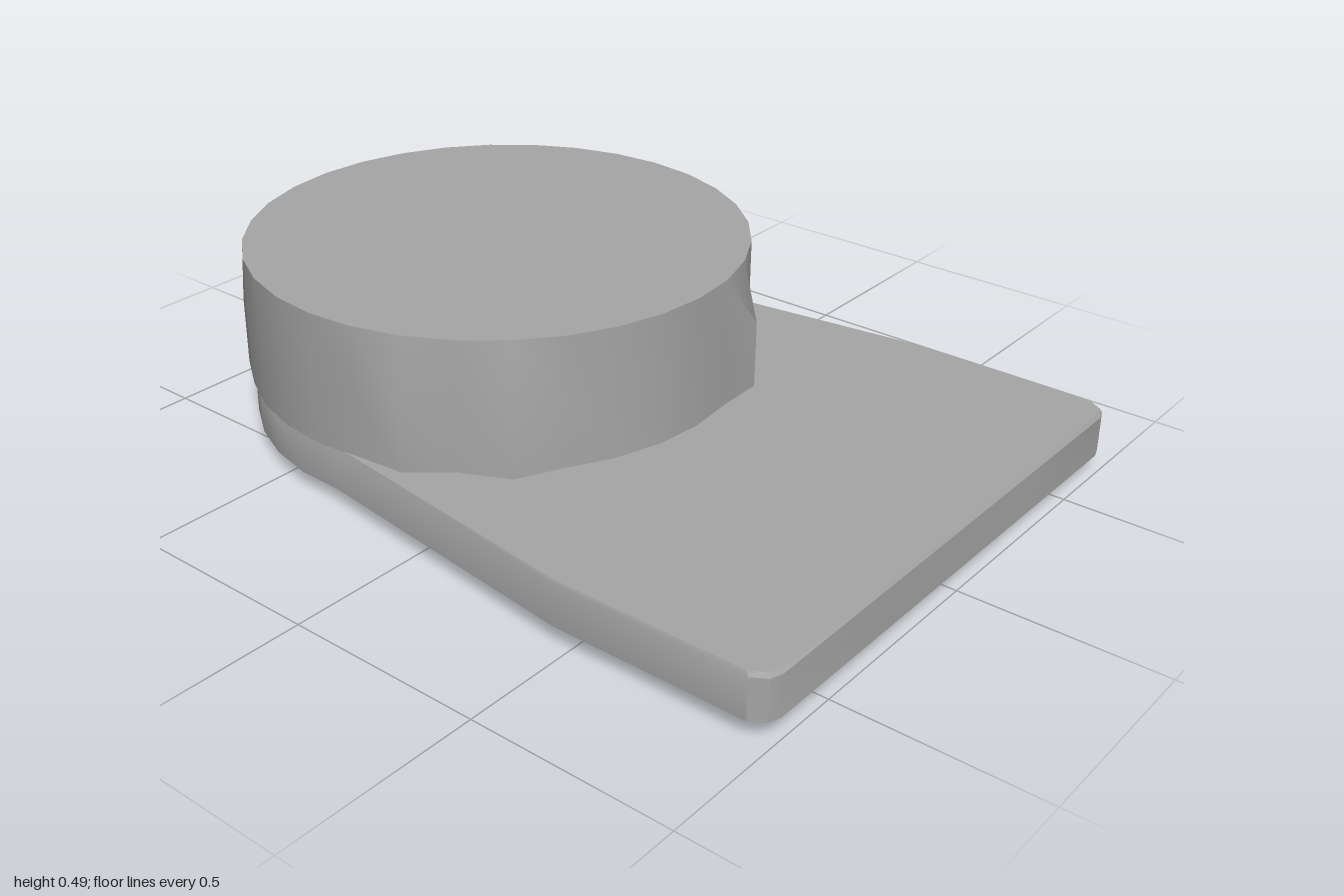
import * as THREE from 'three';
import { toCreasedNormals } from 'three/addons/utils/BufferGeometryUtils.js';

const CX = -0.335; // axis of the disc and of the plate's round end

// Closed solid from stacked rings of [x, y, z], listed top to bottom
function loft(rings) {
  const n = rings[0].length;
  const pos = [];
  const tri = (...p) => p.forEach((v) => pos.push(...v));
  const top = [CX, rings[0][0][1], 0];
  const last = rings[rings.length - 1];
  const bottom = [CX, last[0][1], 0];
  for (let i = 0; i < n; i++) {
    const j = (i + 1) % n;
    tri(top, rings[0][j], rings[0][i]);
    for (let k = 0; k < rings.length - 1; k++) {
      const [a, b, c, d] = [rings[k][i], rings[k][j], rings[k + 1][i], rings[k + 1][j]];
      tri(a, b, c);
      tri(b, d, c);
    }
    tri(bottom, last[i], last[j]);
  }
  const geo = new THREE.BufferGeometry();
  geo.setAttribute('position', new THREE.Float32BufferAttribute(pos, 3));
  geo.computeVertexNormals();
  return geo;
}

// Plate outline in x, z: square right end, slanted sides, round left end
function plateOutline() {
  const half = [[0.995, 0.3], [0.995, 0.66], [0.985, 0.69], [0.95, 0.712], [0.46, 0.712]];
  for (let i = 0; i < 9; i++) {
    const a = THREE.MathUtils.degToRad(86 + i * 11);
    half.push([CX + 0.618 * Math.cos(a), 0.618 * Math.sin(a)]);
  }
  return [...half, ...half.slice().reverse().map(([x, z]) => [x, -z])];
}

export function createModel() {
  const model = new THREE.Group();
  const grey = new THREE.MeshStandardMaterial({ color: 0xa6a6a6 });
  grey.name = 'grey';

  // Plate with a shallow bulge underneath
  const outline = plateOutline();
  const ring = (y, s) => outline.map(([x, z]) => [x * s, y, z * s]);
  const belly = outline.map(([x, z]) => {
    const a = Math.atan2(z, x - CX);
    return [CX + 0.27 * Math.cos(a), 0, 0.25 * Math.sin(a)];
  });
  const plateGeo = loft([ring(0.16, 0.994), ring(0.15, 1), ring(0.047, 1), belly]);
  const plate = new THREE.Mesh(toCreasedNormals(plateGeo, 0.5), grey);
  plate.name = 'basePlate';
  model.add(plate);

  // Disc, slightly uneven below its top rim
  const bumps = { '-2': 0.66, 4: 0.655, 6: 0.65, '-6': 0.65, 12: 0.635 };
  const discRing = (y, uneven) => Array.from({ length: 32 }, (_, i) => {
    const step = i > 16 ? i - 32 : i;
    const a = (step / 16) * Math.PI;
    const r = (uneven && bumps[step]) || 0.625;
    const x = uneven && Math.abs(step) >= 15 ? -1 : CX + r * Math.cos(a);
    return [x, y, r * Math.sin(a)];
  });
  const discGeo = loft([discRing(0.49, false), discRing(0.33, true), discRing(0.158, true)]);
  const disc = new THREE.Mesh(toCreasedNormals(discGeo, 0.7), grey);
  disc.name = 'disc';
  model.add(disc);

  return model;
}
